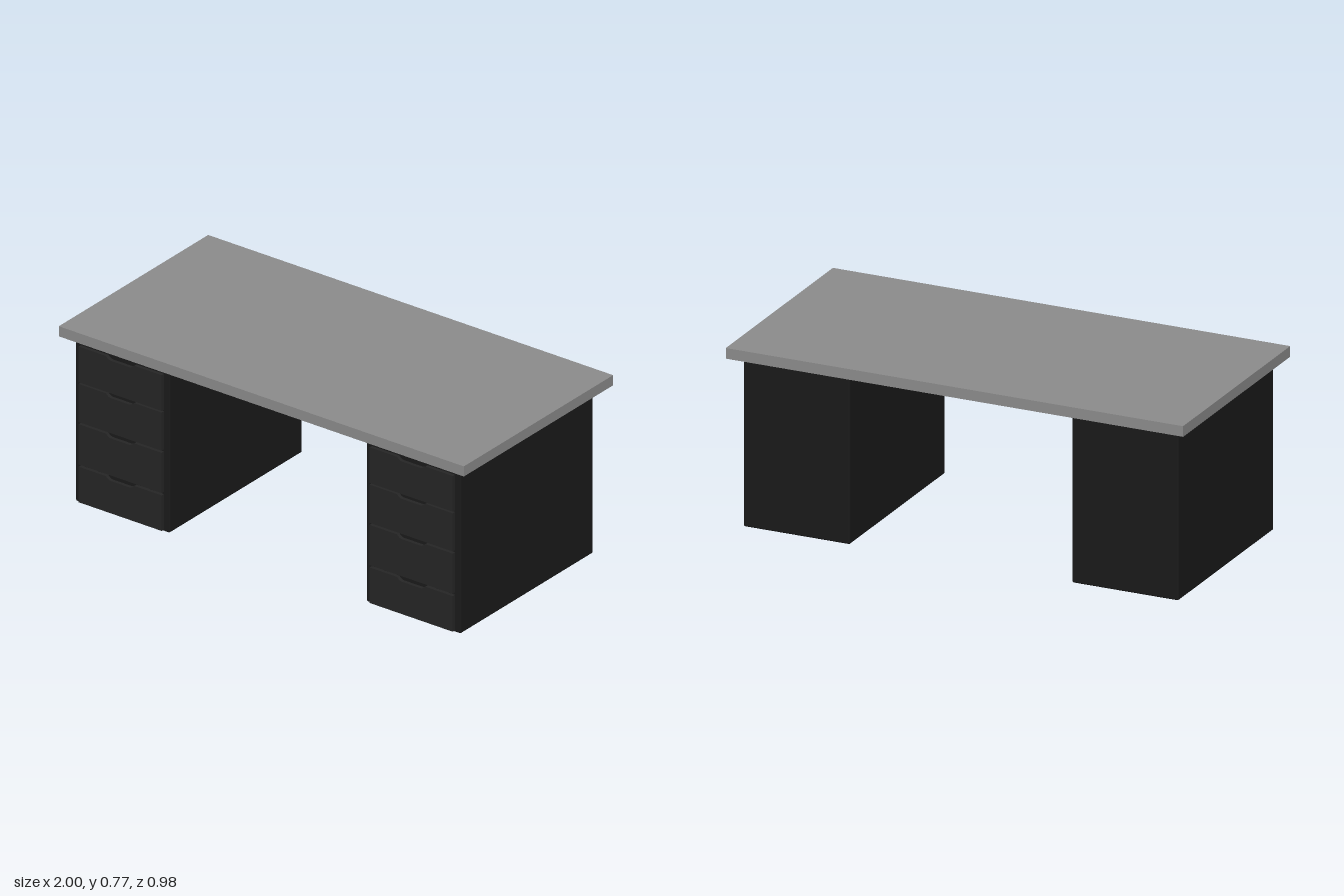
import * as THREE from 'three';
import { RoundedBoxGeometry } from 'three/addons/geometries/RoundedBoxGeometry.js';

const topMaterial = new THREE.MeshStandardMaterial({ color: 0x8c8c8c });
const carcassMaterial = new THREE.MeshStandardMaterial({ color: 0x1a1a1a });
const drawerMaterial = new THREE.MeshStandardMaterial({ color: 0x262626 });

function addMesh(parent, name, geometry, material, x, y, z) {
  const mesh = new THREE.Mesh(geometry, material);
  mesh.name = name;
  mesh.position.set(x, y, z);
  parent.add(mesh);
  return mesh;
}

// Drawer front with a shallow finger notch cut in its top edge
function drawerFrontGeometry(width, height, depth) {
  const w = width / 2;
  const shape = new THREE.Shape();
  shape.moveTo(-w, 0);
  shape.lineTo(w, 0);
  shape.lineTo(w, height);
  shape.lineTo(0.07, height);
  shape.quadraticCurveTo(0.058, height - 0.014, 0.045, height - 0.014);
  shape.lineTo(-0.045, height - 0.014);
  shape.quadraticCurveTo(-0.058, height - 0.014, -0.07, height);
  shape.lineTo(-w, height);
  shape.closePath();
  return new THREE.ExtrudeGeometry(shape, { depth, bevelEnabled: false, curveSegments: 5 });
}

function createPedestal(name, x) {
  const pedestal = new THREE.Group();
  pedestal.name = name;
  pedestal.position.x = x;

  // Cabinet body with softened edges
  addMesh(pedestal, 'cabinet', new RoundedBoxGeometry(0.465, 0.71, 0.872, 2, 0.007),
    carcassMaterial, 0, 0.355, 0.019);

  // Four stacked drawers, bottom to top
  const drawers = [[0.008, 0.166], [0.176, 0.355], [0.364, 0.534], [0.541, 0.7]];
  drawers.forEach(([bottom, top], i) => {
    addMesh(pedestal, `drawerFront${i + 1}`, drawerFrontGeometry(0.41, top - bottom, 0.017),
      drawerMaterial, 0, bottom, 0.453);
  });
  return pedestal;
}

export function createModel() {
  const desk = new THREE.Group();
  desk.name = 'desk';

  // Flat slab floating just above the pedestals
  addMesh(desk, 'desktop', new THREE.BoxGeometry(2, 0.045, 0.98), topMaterial, 0, 0.75, 0);

  desk.add(createPedestal('rightPedestal', -0.712));
  desk.add(createPedestal('leftPedestal', 0.725));
  return desk;
}
